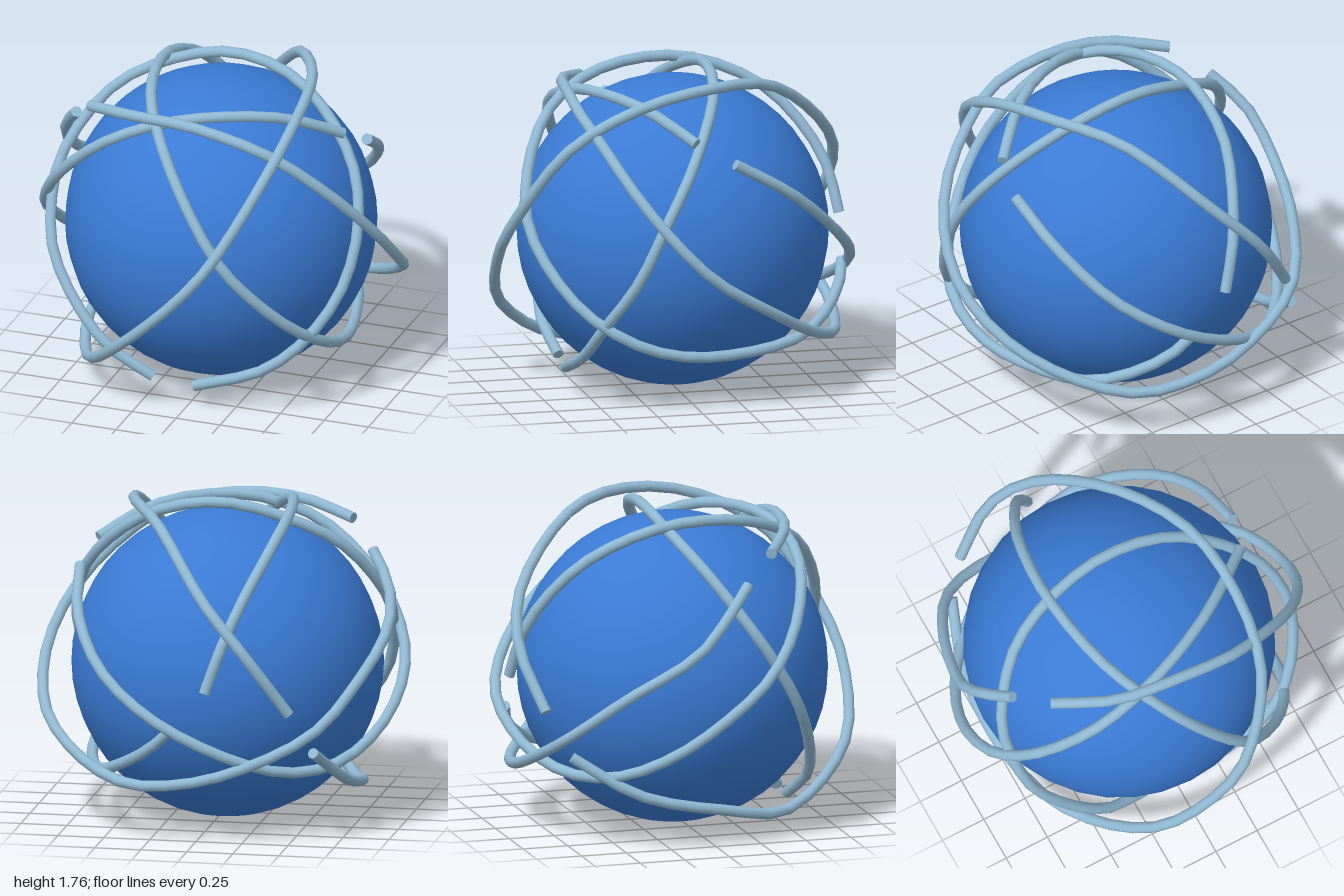
import * as THREE from 'three';

const TUBE = 0.03;

// Open loops wound around the ball: each is a path with a small gap between its ends
const LOOPS = {
  risingLoop: [
    [-0.64, 0.52, -0.77], [-0.75, 0.31, -0.42], [-0.75, 0.2, 0.06], [-0.62, 0.15, 0.44],
    [-0.29, 0.43, 0.86], [0.09, 0.8, 0.955], [0.26, 1.02, 0.9], [0.46, 1.42, 0.66],
    [0.51, 1.63, 0.3], [0.46, 1.71, -0.1], [0.25, 1.66, -0.5], [-0.07, 1.33, -0.88],
    [-0.31, 1.07, -0.965], [-0.53, 0.75, -0.88],
  ],
  fallingLoop: [
    [-0.085, 0.86, -0.95], [-0.17, 1.11, -0.9], [-0.26, 1.34, -0.77], [-0.35, 1.54, -0.56],
    [-0.395, 1.69, -0.16], [-0.31, 1.67, 0.3], [-0.13, 1.52, 0.62], [0.09, 1.24, 0.8],
    [0.3, 0.95, 0.84], [0.57, 0.62, 0.67], [0.7, 0.45, 0.46], [0.73, 0.34, 0.2],
    [0.69, 0.3, -0.1], [0.52, 0.35, -0.6], [0.24, 0.52, -0.86], [0.1, 0.65, -0.92],
  ],
  uprightLoop: [
    [0.04, 0.13, 0.58], [0.43, 0.28, 0.575], [0.66, 0.48, 0.52], [0.81, 0.75, 0.37],
    [0.84, 1.07, 0.22], [0.73, 1.35, 0.05], [0.37, 1.65, -0.15], [-0.02, 1.74, -0.2],
    [-0.4, 1.65, -0.15], [-0.66, 1.5, -0.04], [-0.85, 1.2, 0.17], [-0.87, 1.02, 0.29],
    [-0.8, 0.72, 0.46], [-0.47, 0.32, 0.6], [-0.2, 0.14, 0.56],
  ],
  leftTiltedLoop: [
    [0.68, 1.47, 0.02], [0.47, 1.59, 0.2], [0.25, 1.64, 0.35], [-0.1, 1.62, 0.5],
    [-0.45, 1.48, 0.55], [-0.77, 1.2, 0.44], [-0.93, 0.95, 0.25], [-0.97, 0.76, 0.02],
    [-0.9, 0.56, -0.25], [-0.73, 0.42, -0.52], [-0.5, 0.4, -0.74], [-0.2, 0.5, -0.9],
    [0.2, 0.7, -0.94], [0.51, 0.92, -0.78], [0.69, 1.17, -0.5], [0.74, 1.36, -0.18],
  ],
  rightTiltedLoop: [
    [-0.64, 1.56, 0.34], [-0.33, 1.62, 0.51], [0, 1.63, 0.56], [0.35, 1.56, 0.56],
    [0.52, 1.47, 0.51], [0.78, 1.24, 0.38], [0.93, 1.0, 0.2], [0.97, 0.78, -0.02],
    [0.88, 0.57, -0.35], [0.64, 0.4, -0.62], [0.38, 0.32, -0.8], [0.14, 0.33, -0.87],
    [-0.19, 0.41, -0.9], [-0.63, 0.62, -0.79], [-0.83, 0.86, -0.52], [-0.93, 1.1, -0.15],
    [-0.9, 1.27, 0.01], [-0.78, 1.43, 0.17],
  ],
};

// A round wire along a path, closed with a flat disc at each end
function makeWire(name, points, material) {
  const wire = new THREE.Group();
  wire.name = name;
  const curve = new THREE.CatmullRomCurve3(points.map((p) => new THREE.Vector3(...p)));
  const tube = new THREE.Mesh(new THREE.TubeGeometry(curve, 40, TUBE, 10), material);
  tube.name = name + 'Tube';
  wire.add(tube);
  for (const t of [0, 1]) {
    const cap = new THREE.Mesh(new THREE.CircleGeometry(TUBE, 10), material);
    const outward = curve.getTangentAt(t).multiplyScalar(t === 0 ? -1 : 1);
    cap.quaternion.setFromUnitVectors(new THREE.Vector3(0, 0, 1), outward);
    cap.position.copy(curve.getPointAt(t));
    cap.name = name + (t === 0 ? 'StartCap' : 'EndCap');
    wire.add(cap);
  }
  return wire;
}

export function createModel() {
  const model = new THREE.Group();
  model.name = 'wrappedBall';

  const ballBlue = new THREE.MeshStandardMaterial({ color: 0x3a7bd5 });
  ballBlue.name = 'ball blue';
  const wireBlue = new THREE.MeshStandardMaterial({ color: 0x90b8d2 });
  wireBlue.name = 'pale wire blue';

  // Ball
  const ball = new THREE.Mesh(new THREE.SphereGeometry(0.833, 32, 24), ballBlue);
  ball.name = 'ball';
  ball.position.set(-0.03, 0.838, -0.025);
  model.add(ball);

  // Wires
  for (const [name, points] of Object.entries(LOOPS)) {
    model.add(makeWire(name, points, wireBlue));
  }
  return model;
}
